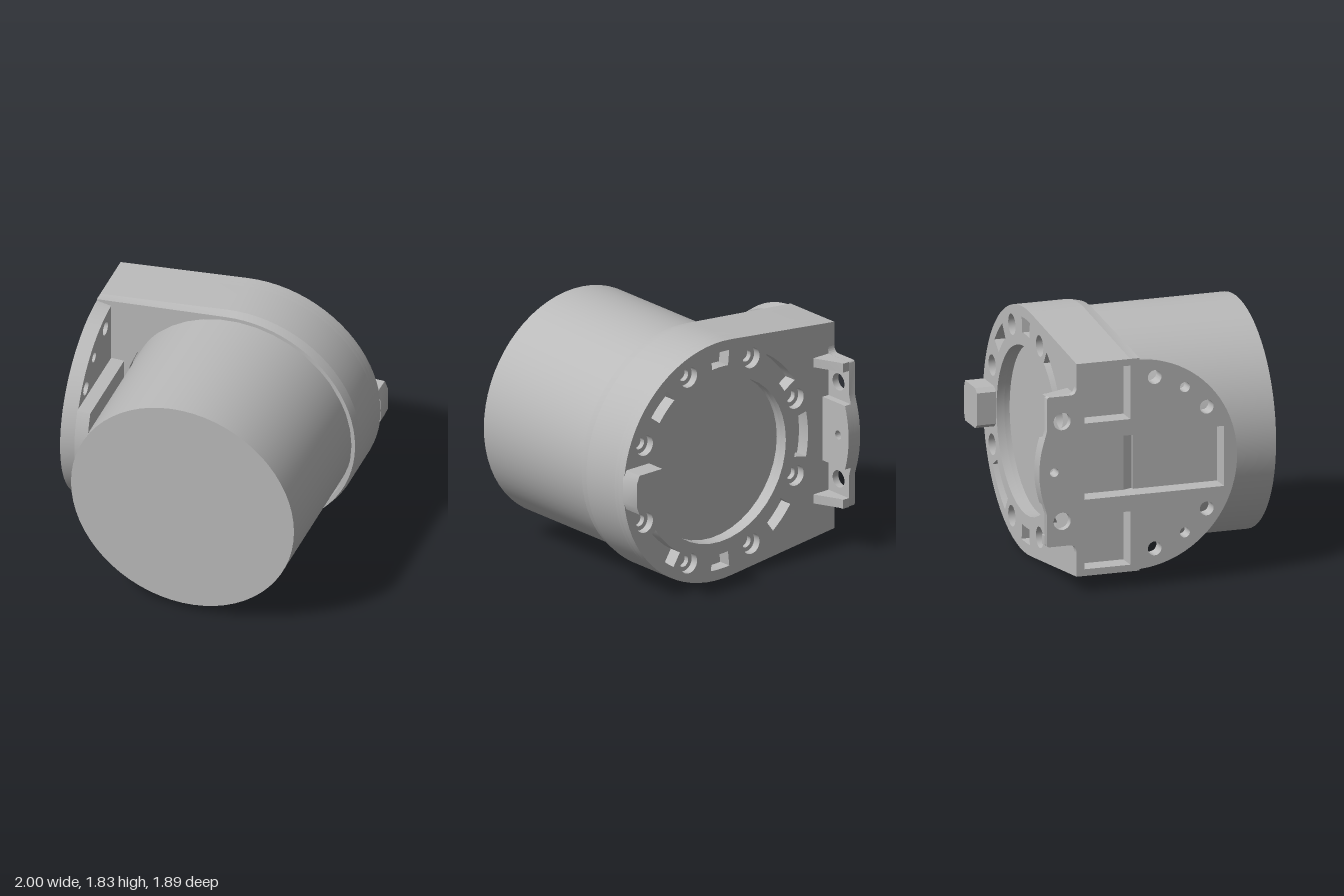
import * as THREE from 'three';
import { toCreasedNormals } from 'three/addons/utils/BufferGeometryUtils.js';

const CX = 0.085, CY = 0.915, R = 0.915;   // drum axis and housing radius
const rad = THREE.MathUtils.degToRad;

export function createModel() {
  const root = new THREE.Group();
  root.name = 'motorHousing';
  const grey = new THREE.MeshStandardMaterial({ color: 0xbababa });
  grey.name = 'castGrey';

  const add = (name, geo) => {
    const mesh = new THREE.Mesh(toCreasedNormals(geo, 0.5), grey);
    mesh.name = name;
    root.add(mesh);
  };
  const extrude = (shape, depth) =>
    new THREE.ExtrudeGeometry(shape, { depth, bevelEnabled: false, curveSegments: 20 });
  // shape drawn in (x, y), running from z0 to z1
  const alongZ = (shape, z0, z1) => extrude(shape, z1 - z0).translate(0, 0, z0);
  // shape drawn in (z, y), running from x0 to x1
  const alongX = (shape, x0, x1) => extrude(shape, x1 - x0).rotateY(-Math.PI / 2).translate(x1, 0, 0);
  // shape drawn in (x, -z), running from y0 to y1
  const alongY = (shape, y0, y1) => extrude(shape, y1 - y0).rotateX(-Math.PI / 2).translate(0, y0, 0);
  const poly = (pts) => new THREE.Shape(pts.map(([a, b]) => new THREE.Vector2(a, b)));
  const circle = (x, y, r) => new THREE.Path().absarc(x, y, r, 0, Math.PI * 2, false);
  const move = (geo, rule) => {
    const p = geo.attributes.position, v = new THREE.Vector3();
    for (let i = 0; i < p.count; i++) {
      rule(v.fromBufferAttribute(p, i));
      p.setXYZ(i, v.x, v.y, v.z);
    }
    geo.computeVertexNormals();
    return geo;
  };

  // Housing outline: round on one side, flat on the other, with notches [yTop, yBottom]
  const outline = (notches = []) => {
    const s = new THREE.Shape().moveTo(-1, 1.71);
    for (const [top, bottom] of notches) {
      s.lineTo(-1, top).lineTo(-0.85, top).lineTo(-0.85, bottom).lineTo(-1, bottom);
    }
    s.lineTo(-1, 0.12);
    return s.absarc(CX, CY, R, rad(-96.7), rad(96.7), false);
  };

  // Rear face openings: central recess, eight screw holes, seven curved slots
  const slots = [[45, 8], [90, 6], [135, 13], [180, 12], [225, 8], [270, 6], [315, 13]];
  const rearHoles = (shape, screwRadius) => {
    shape.holes.push(circle(CX, CY, 0.625));
    for (let i = 0; i < 8; i++) {
      const a = rad(22.5 + i * 45);
      shape.holes.push(circle(CX + 0.775 * Math.cos(a), CY + 0.775 * Math.sin(a), screwRadius));
    }
    for (const [mid, half] of slots) {
      const slot = new THREE.Path();
      slot.absarc(CX, CY, 0.835, rad(mid - half), rad(mid + half), false);
      slot.absarc(CX, CY, 0.72, rad(mid + half), rad(mid - half), true);
      slot.closePath();
      shape.holes.push(slot);
    }
    return shape;
  };

  // Housing layers from back to front
  const centreNotch = [1.14, 0.69];
  const notches = [[1.66, 1.26], centreNotch, [0.57, 0.17]];
  add('housingRear', alongZ(rearHoles(outline(), 0.078), -0.66, -0.6));
  add('housingRearInner', alongZ(rearHoles(outline(notches), 0.045), -0.6, -0.56));
  add('housingBody', alongZ(outline(notches), -0.56, -0.25));
  const frontShape = outline([centreNotch]);
  frontShape.holes.push(circle(CX, CY, 0.872));
  add('housingFront', move(alongZ(frontShape, -0.25, -0.18), (v) => {
    // small chamfer on the outer front edge
    const r = Math.hypot(v.x - CX, v.y - CY);
    if (v.z > -0.19 && r > 0.9 && v.x > -0.99) {
      v.x = CX + (v.x - CX) * 0.983;
      v.y = CY + (v.y - CY) * 0.983;
    }
  }));

  // Drum
  add('drum', new THREE.CylinderGeometry(0.857, 0.857, 1.194, 64)
    .rotateX(Math.PI / 2).translate(CX, CY, 0.347));

  // Side flange: half disc in (z, y) cut to a half height, optionally open for the pocket
  const FZ = -0.22, FR = 0.785;
  const flangeShape = (h, pocket) => {
    const a = Math.asin(h / FR), s = new THREE.Shape().moveTo(-0.18, CY + h);
    if (pocket) s.lineTo(-0.18, 1.14).lineTo(0.465, 1.14).lineTo(0.465, 0.69).lineTo(-0.18, 0.69);
    s.lineTo(-0.18, CY - h);
    return s.absarc(FZ, CY, FR, -a, a, false);
  };
  const plate = flangeShape(0.783, true);
  for (const side of [-1, 1]) {
    for (const [angle, r] of [[78, 0.052], [56, 0.038], [35.5, 0.052]]) {
      const a = rad(angle);
      plate.holes.push(circle(FZ + 0.02 + 0.655 * Math.cos(a), CY + side * 0.655 * Math.sin(a), r));
    }
  }
  add('sideFlange', move(alongX(plate, -1, -0.89), (v) => {
    // chamfer on the inner rim
    if (v.x > -0.9 && Math.hypot(v.z - FZ, v.y - CY) > 0.775) {
      if (v.z > -0.17) v.z = FZ + (v.z - FZ) * 0.975;
      v.y = CY + (v.y - CY) * 0.975;
    }
  }));
  add('pocketWalls', alongX(flangeShape(0.3, true), -0.89, -0.85));
  add('pocketFloor', alongX(flangeShape(0.3, false), -0.85, -0.79));

  // Rear mounting tab with a bulged middle
  const tab = new THREE.Shape().moveTo(-0.66, 0.3)
    .quadraticCurveTo(-0.665, 0.36, -0.71, 0.36).lineTo(-0.66, 0.36);
  tab.curves.length = 0;
  tab.moveTo(-0.66, 1.53).quadraticCurveTo(-0.665, 1.48, -0.71, 1.48)
    .lineTo(-0.865, 1.48).quadraticCurveTo(-0.885, 1.48, -0.885, 1.46)
    .lineTo(-0.885, 1.23).lineTo(-0.905, 1.16)
    .quadraticCurveTo(-0.983, CY, -0.905, 0.67).lineTo(-0.885, 0.6)
    .lineTo(-0.885, 0.38).quadraticCurveTo(-0.885, 0.36, -0.865, 0.36)
    .lineTo(-0.71, 0.36).quadraticCurveTo(-0.665, 0.36, -0.66, 0.3);
  tab.holes.push(circle(-0.77, 1.292, 0.065), circle(-0.77, 0.545, 0.065), circle(-0.83, CY, 0.033));
  add('rearTab', alongX(tab, -1, -0.945));
  const tabBlock = new THREE.Shape().moveTo(-0.66, 1.16).lineTo(-0.905, 1.16)
    .quadraticCurveTo(-0.983, CY, -0.905, 0.67).lineTo(-0.66, 0.67);
  tabBlock.holes.push(circle(-0.83, CY, 0.033));
  add('rearTabBlock', alongX(tabBlock, -0.945, -0.89));
  const rib = poly([[-0.946, 0.66], [-0.8, 0.66], [-0.885, 0.85], [-0.89, 0.883], [-0.946, 0.883]]);
  add('rearTabUpperRib', alongY(rib, 1.41, 1.479));
  add('rearTabLowerRib', alongY(rib, 0.361, 0.43));

  // Lug on the round side
  const lug = poly([[0.72, CY - 0.12], [0.76, CY - 0.15], [0.975, CY - 0.15], [1, CY - 0.09],
    [1, CY + 0.09], [0.975, CY + 0.15], [0.76, CY + 0.15], [0.72, CY + 0.12]]);
  add('rearLug', alongZ(lug, -0.805, -0.65));

  return root;
}
